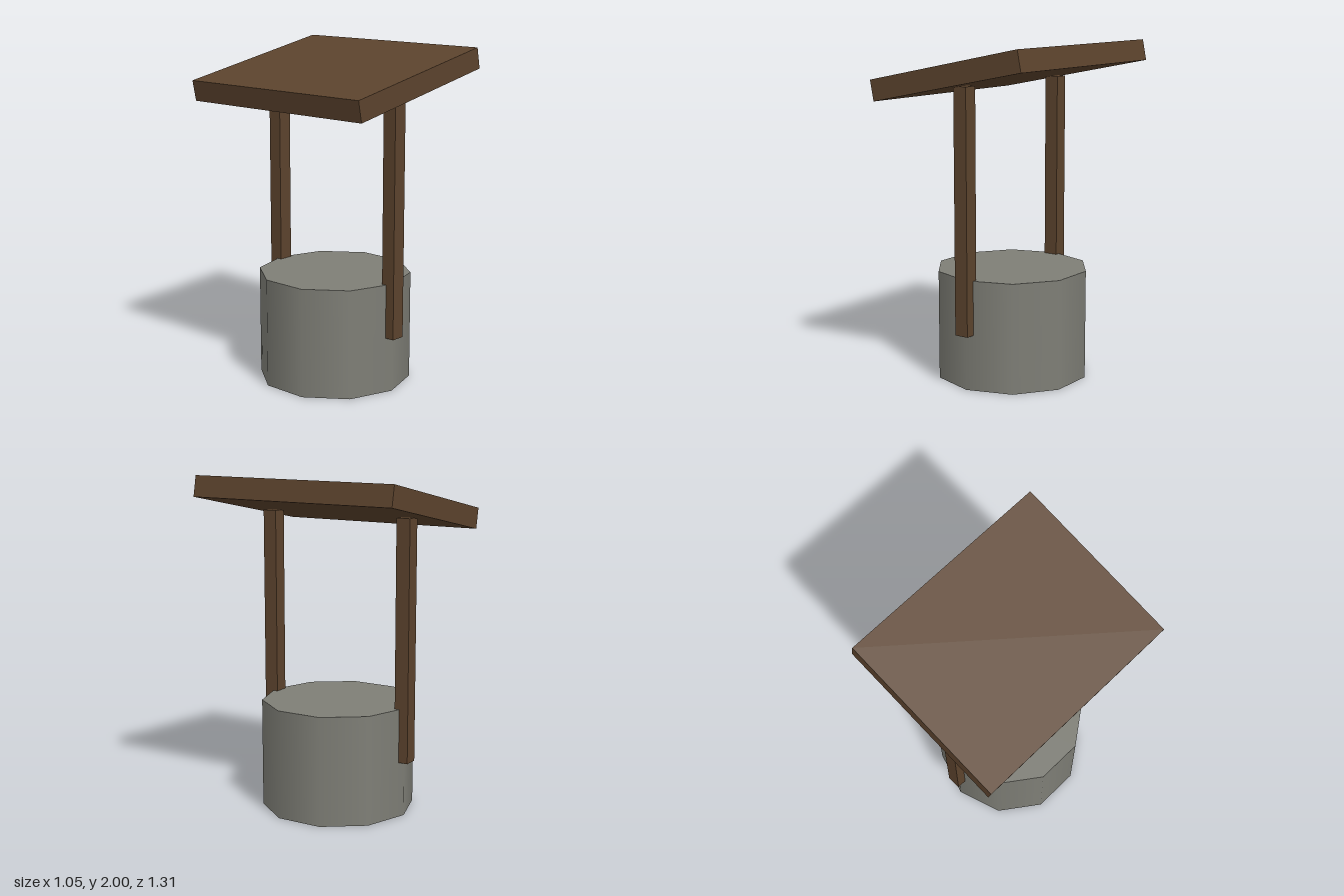
import * as THREE from 'three';

export function createModel() {
  const group = new THREE.Group();
  group.name = 'well';

  const stone = new THREE.MeshStandardMaterial({ color: 0x7e7e76 });
  stone.name = 'grey stone';
  const wood = new THREE.MeshStandardMaterial({ color: 0x5c432d });
  wood.name = 'brown wood';

  const add = (name, geometry, material, x, y, z) => {
    const mesh = new THREE.Mesh(geometry, material);
    mesh.name = name;
    mesh.position.set(x, y, z);
    group.add(mesh);
    return mesh;
  };

  // ten-sided, smooth-shaded solid base with a corner facing the front
  const baseHeight = 0.655;
  add('base', new THREE.CylinderGeometry(0.458, 0.458, baseHeight, 10), stone, 0, baseHeight / 2, 0);

  // posts half sunk into the base wall, front and back
  const bottom = 0.333, top = 1.77;
  const postGeometry = new THREE.BoxGeometry(0.087, top - bottom, 0.087);
  for (const [name, side] of [['frontPost', 1], ['backPost', -1]]) {
    add(name, postGeometry, wood, 0, (top + bottom) / 2, side * 0.458);
  }

  // flat roof slab, higher on the left side
  const roof = add('roof', new THREE.BoxGeometry(1.046, 0.125, 1.308), wood, 0, 1.835, 0);
  roof.rotation.z = Math.atan(0.2);

  return group;
}
